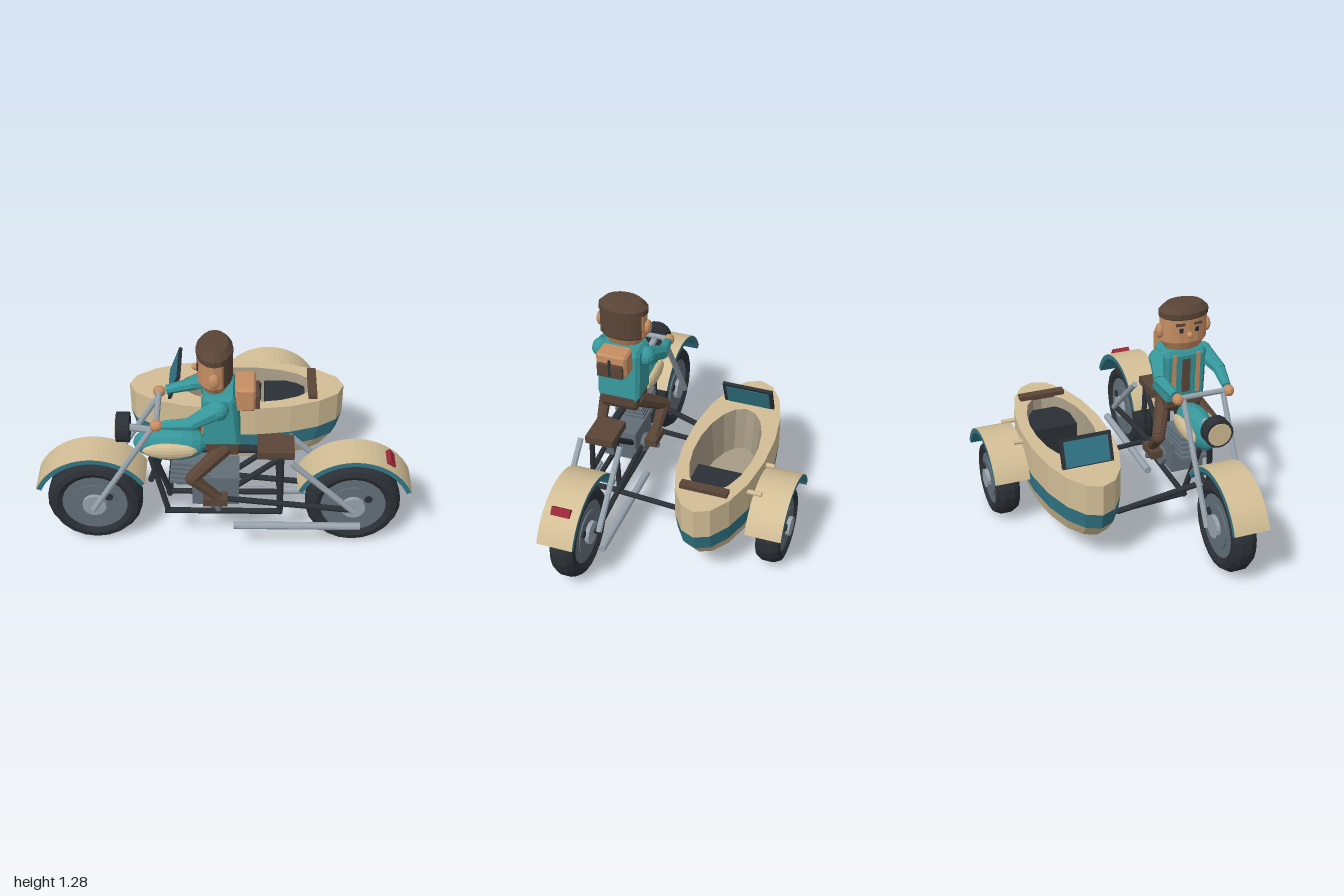
import * as THREE from 'three';

const mat = (name, color) => {
  const m = new THREE.MeshStandardMaterial({ color });
  m.name = name;
  return m;
};

export function createModel() {
  const cream = mat('cream', 0xd2be96), teal = mat('teal', 0x36979b), blue = mat('blueTrim', 0x317687);
  const black = mat('black', 0x2b3036), grey = mat('grey', 0x626e78), chrome = mat('chrome', 0x98a3ad);
  const brown = mat('brown', 0x5a4537), tan = mat('tan', 0xc68e63), red = mat('red', 0x9a2638), liner = mat('liner', 0xa69b85);

  const root = new THREE.Group();
  const group = (name, parent, x = 0, y = 0, z = 0) => {
    const g = new THREE.Group();
    g.name = name;
    g.position.set(x, y, z);
    parent.add(g);
    return g;
  };
  // Adds a faceted mesh
  const add = (name, parent, geo, material, x = 0, y = 0, z = 0) => {
    const g = geo.index ? geo.toNonIndexed() : geo;
    g.computeVertexNormals();
    const m = new THREE.Mesh(g, material);
    m.name = name;
    m.position.set(x, y, z);
    parent.add(m);
    return m;
  };
  const box = (name, p, m, w, h, d, x, y, z) => add(name, p, new THREE.BoxGeometry(w, h, d), m, x, y, z);
  const ball = (name, p, m, rx, ry, rz, x, y, z) =>
    add(name, p, new THREE.SphereGeometry(1, 12, 8).scale(rx, ry, rz), m, x, y, z);
  const disc = (name, p, m, r, w, x, y, z, n = 20) =>
    add(name, p, new THREE.CylinderGeometry(r, r, w, n).rotateX(Math.PI / 2), m, x, y, z);
  // Straight tube between two points
  const rod = (name, p, m, a, b, r0, r1 = r0, n = 8) => {
    const A = new THREE.Vector3(...a), B = new THREE.Vector3(...b), d = B.clone().sub(A);
    const mesh = add(name, p, new THREE.CylinderGeometry(r1, r0, d.length(), n), m);
    mesh.position.copy(A).add(B).multiplyScalar(0.5);
    mesh.quaternion.setFromUnitVectors(new THREE.Vector3(0, 1, 0), d.normalize());
    return mesh;
  };
  // Block with chamfered vertical outline, extruded along z
  const slab = (name, p, m, pts, d, bevel, z) => {
    const s = new THREE.Shape(pts.map(q => new THREE.Vector2(...q)));
    const g = new THREE.ExtrudeGeometry(s, { depth: d - 2 * bevel, bevelSize: bevel, bevelOffset: -bevel, bevelThickness: bevel, bevelSegments: 1 });
    return add(name, p, g.translate(0, 0, z - d / 2 + bevel), m);
  };

  const wheel = (name, x, y, z, R) => {
    const k = R / 0.257, g = group(name, root, x, y, z);
    const prof = [[0.168, -0.05], [0.205, -0.071], [0.235, -0.064], [0.257, -0.03], [0.257, 0.03], [0.235, 0.064], [0.205, 0.071], [0.168, 0.05]]
      .map(([r, h]) => new THREE.Vector2(r * k, h));
    add('tyre', g, new THREE.LatheGeometry(prof, 22).rotateX(Math.PI / 2), black);
    disc('rim', g, grey, 0.178 * k, 0.11, 0, 0, 0, 22);
    disc('rimDisc', g, grey, 0.125 * k, 0.125, 0, 0, 0);
    disc('hub', g, chrome, 0.065 * k, 0.17, 0, 0, 0, 14);
    disc('valve', g, black, 0.021, 0.145, 0.08 * k, 0.05 * k, 0, 10);
  };
  // Arched mudguard: blue shell with a cream outer skin
  const fender = (name, x, y, z, R, a0, a1) => {
    const g = group(name, root, x, y, z);
    const arc = (r0, r1, w) => {
      const s = new THREE.Shape();
      s.absarc(0, 0, r1, a0, a1, false);
      s.absarc(0, 0, r0, a1, a0, true);
      return new THREE.ExtrudeGeometry(s, { depth: w, bevelEnabled: false, curveSegments: 14 }).translate(0, 0, -w / 2);
    };
    add('shell', g, arc(R - 0.03, R - 0.003, 0.2), blue);
    add('skin', g, arc(R - 0.003, R, 0.2), cream);
  };

  wheel('frontWheel', -0.7, 0.262, 0.43, 0.257);
  wheel('rearWheel', 0.695, 0.262, 0.43, 0.257);
  wheel('sidecarWheel', 0.25, 0.22, -0.555, 0.215);
  fender('frontFender', -0.7, 0.265, 0.43, 0.33, 0.55, Math.PI - 0.4);
  fender('rearFender', 0.695, 0.265, 0.43, 0.33, 0.4, Math.PI - 0.4);
  fender('sidecarFender', 0.25, 0.22, -0.55, 0.295, 0.4, Math.PI - 0.4);

  // Motorcycle, centred on its own z = 0
  const bike = group('motorcycle', root, 0, 0, 0.43);
  const sides = [-1, 1];
  for (const s of sides) {
    rod('forkLeg', bike, chrome, [-0.7, 0.265, s * 0.115], [-0.34, 0.87, s * 0.115], 0.016);
    rod('shock', bike, chrome, [0.35, 0.6, s * 0.115], [0.69, 0.27, s * 0.115], 0.017);
    rod('swingArm', bike, black, [-0.04, 0.345, s * 0.1], [0.69, 0.265, s * 0.1], 0.016);
    rod('exhaust', bike, chrome, [0.05, 0.19, s * 0.146], [0.73, 0.19, s * 0.146], 0.021, 0.021, 10);
    rod('downTube', bike, black, [-0.39, 0.56, s * 0.03], [-0.3, 0.235, s * 0.08], 0.016);
    rod('cradleTube', bike, black, [-0.32, 0.235, s * 0.08], [0.31, 0.235, s * 0.08], 0.016);
    rod('rearTube', bike, black, [0.3, 0.225, s * 0.08], [0.3, 0.6, s * 0.07], 0.016);
    rod('braceTube', bike, black, [0.06, 0.4, s * 0.07], [0.3, 0.6, s * 0.07], 0.016);
    rod('footPeg', bike, grey, [-0.03, 0.345, s * 0.08], [-0.03, 0.345, s * 0.195], 0.015);
    disc('engineCover', bike, grey, 0.055, 0.03, -0.04, 0.34, s * 0.105, 12);
    disc('coverBolt', bike, black, 0.02, 0.02, -0.04, 0.345, s * 0.118, 8);
    ball('tankPanel', bike, cream, 0.145, 0.048, 0.03, -0.285, 0.64, s * 0.075);
  }
  rod('topTube', bike, black, [-0.38, 0.6, 0], [0.34, 0.6, 0], 0.022);
  rod('crossTube', bike, black, [0.3, 0.24, -0.09], [0.3, 0.24, 0.09], 0.016);
  rod('handlebar', bike, chrome, [-0.345, 0.87, -0.16], [-0.345, 0.87, 0.16], 0.015);
  rod('headStem', bike, chrome, [-0.5, 0.74, 0], [-0.38, 0.72, 0], 0.02);
  const lamp = rod('headlight', bike, black, [-0.565, 0.74, 0], [-0.495, 0.74, 0], 0.08, 0.08, 16);
  rod('lampLens', bike, cream, [-0.57, 0.74, 0], [-0.563, 0.74, 0], 0.066, 0.066, 16);
  lamp.name = 'headlight';

  // Teardrop tank, narrowing to the front
  const tank = new THREE.SphereGeometry(1, 16, 10).rotateZ(Math.PI / 2);
  const tp = tank.attributes.position;
  for (let i = 0; i < tp.count; i++) {
    const x = tp.getX(i), w = 0.8 + 0.2 * x;
    tp.setXYZ(i, x * 0.197, tp.getY(i) * 0.107, tp.getZ(i) * 0.1 * w);
  }
  add('fuelTank', bike, tank, teal, -0.285, 0.64, 0);

  box('crankcase', bike, grey, 0.25, 0.18, 0.19, -0.045, 0.385, 0);
  for (let i = 0; i < 5; i++) {
    const fin = box('coolingFin', bike, grey, 0.21, 0.016, 0.17, -0.185 + i * 0.004, 0.43 + i * 0.03, 0);
    fin.rotation.z = -0.1;
  }
  box('cylinderCore', bike, grey, 0.16, 0.15, 0.13, -0.175, 0.48, 0);
  box('seat', bike, brown, 0.195, 0.045, 0.16, 0.272, 0.615, 0);
  const tail = box('tailLight', bike, red, 0.045, 0.03, 0.105, 0.882, 0.54, 0);
  tail.rotation.z = -0.95;

  // Rider
  const rider = group('rider', root, 0, 0, 0.43);
  slab('torso', rider, teal, [[-0.1, 0.71], [0.085, 0.71], [0.06, 0.99], [0.045, 1.02], [-0.1, 1.02], [-0.115, 0.99]], 0.245, 0.02, 0);
  slab('hips', rider, brown, [[-0.08, 0.64], [0.07, 0.64], [0.085, 0.67], [0.085, 0.725], [-0.095, 0.725], [-0.095, 0.67]], 0.22, 0.012, 0);
  box('scarf', rider, brown, 0.012, 0.2, 0.045, -0.113, 0.87, 0);
  for (const s of sides) {
    box('packStrap', rider, tan, 0.01, 0.24, 0.022, -0.112, 0.88, s * 0.07);
    rod('upperArm', rider, teal, [-0.03, 0.96, s * 0.13], [-0.17, 0.9, s * 0.178], 0.052, 0.036);
    ball('shoulder', rider, teal, 0.055, 0.055, 0.05, -0.03, 0.955, s * 0.135);
    rod('foreArm', rider, teal, [-0.15, 0.9, s * 0.178], [-0.31, 0.872, s * 0.152], 0.036, 0.025);
    ball('hand', rider, tan, 0.034, 0.032, 0.03, -0.345, 0.865, s * 0.148);
    rod('thigh', rider, brown, [0.01, 0.68, s * 0.08], [-0.165, 0.545, s * 0.178], 0.046, 0.036);
    ball('knee', rider, brown, 0.037, 0.037, 0.037, -0.165, 0.54, s * 0.178);
    rod('shin', rider, brown, [-0.165, 0.54, s * 0.178], [-0.03, 0.4, s * 0.162], 0.036, 0.028);
    box('shoe', rider, brown, 0.13, 0.045, 0.07, -0.045, 0.388, s * 0.16);
    ball('ear', rider, tan, 0.03, 0.043, 0.022, -0.05, 1.135, s * 0.138);
    box('eye', rider, black, 0.008, 0.026, 0.02, -0.134, 1.155, s * 0.045);
    box('eyebrow', rider, brown, 0.012, 0.014, 0.05, -0.133, 1.19, s * 0.05);
  }
  rod('neck', rider, tan, [-0.05, 1, 0], [-0.05, 1.05, 0], 0.05);
  const oval = (pts, start = 0, len = Math.PI * 2, n = 16) =>
    new THREE.LatheGeometry(pts.map(q => new THREE.Vector2(...q)), n, start, len).scale(0.67, 1, 1);
  add('head', rider, oval([[0, 1.025], [0.1, 1.03], [0.133, 1.08], [0.135, 1.24], [0.1, 1.275], [0, 1.28]]), tan, -0.05);
  add('hairCap', rider, oval([[0.135, 1.215], [0.141, 1.22], [0.141, 1.25], [0.105, 1.284], [0, 1.288]]), brown, -0.05);
  add('hairBack', rider, oval([[0.134, 1.075], [0.14, 1.085], [0.14, 1.23]], Math.PI * 0.17, Math.PI * 0.66, 8), brown, -0.05);
  ball('nose', rider, tan, 0.02, 0.017, 0.017, -0.147, 1.13, 0);

  // Backpack
  slab('backpack', rider, tan, [[0.055, 0.91], [0.15, 0.91], [0.16, 0.925], [0.16, 1.035], [0.15, 1.048], [0.055, 1.048]], 0.175, 0.012, 0);
  box('packPocket', rider, brown, 0.025, 0.075, 0.145, 0.17, 0.957, 0);
  box('packBuckle', rider, black, 0.012, 0.1, 0.012, 0.182, 0.98, 0);

  // Sidecar hull: oval rings from keel centre, over the rim, into the cockpit
  const car = group('sidecar', root, 0, 0, -0.215);
  const N = 18;
  const rings = [
    [0.06, 0.185, 0.001, 0.001], [0.06, 0.185, 0.51, 0.2], [0.06, 0.27, 0.58, 0.225], [0.06, 0.37, 0.607, 0.234],
    [0.06, 0.552, 0.61, 0.235], [0.12, 0.552, 0.38, 0.168], [0.12, 0.3, 0.34, 0.145], [0.12, 0.3, 0.001, 0.001],
  ];
  const bandMats = [black, cream, blue, cream, cream, liner, liner];
  const names = ['keel', 'lowerHull', 'hullStripe', 'upperHull', 'deck', 'cockpitWall', 'cockpitFloor'];
  const at = ([cx, y, rx, rz], i) => {
    const t = (i / N) * Math.PI * 2;
    return [cx + rx * Math.cos(t), y, rz * Math.sin(t)];
  };
  names.forEach((name, k) => {
    const v = [];
    for (let i = 0; i < N; i++) {
      const a = at(rings[k], i), b = at(rings[k], i + 1), c = at(rings[k + 1], i), d = at(rings[k + 1], i + 1);
      v.push(...a, ...c, ...b, ...b, ...c, ...d);
    }
    const g = new THREE.BufferGeometry();
    g.setAttribute('position', new THREE.Float32BufferAttribute(v, 3));
    add(name, car, g, bandMats[k]);
  });
  box('passengerSeat', car, black, 0.23, 0.18, 0.25, 0.335, 0.4, 0);
  box('headPad', car, brown, 0.05, 0.03, 0.265, 0.49, 0.562, 0);

  // Windscreen leaning back, with glass on both faces
  const screen = group('windscreen', car, -0.29, 0.625, 0);
  screen.rotation.z = -0.35;
  box('screenFrame', screen, black, 0.018, 0.17, 0.29, 0, 0, 0);
  for (const s of sides) box('screenGlass', screen, blue, 0.006, 0.142, 0.25, s * 0.009, -0.004, 0);

  // Mounts to the sidecar wheel and struts to the motorcycle
  for (const x of [0.12, 0.365]) rod('fenderMount', root, cream, [x, 0.5, -0.4], [x, 0.5, -0.495], 0.013);
  rod('axle', root, grey, [0.25, 0.22, -0.38], [0.25, 0.22, -0.6], 0.016);
  rod('upperStrut', root, black, [-0.4, 0.34, 0.38], [-0.35, 0.235, -0.06], 0.017);
  rod('frontStrut', root, black, [-0.3, 0.23, 0.37], [-0.3, 0.2, -0.1], 0.015);
  rod('rearStrut', root, black, [0.3, 0.235, 0.37], [0.3, 0.2, -0.1], 0.015);

  return root;
}
